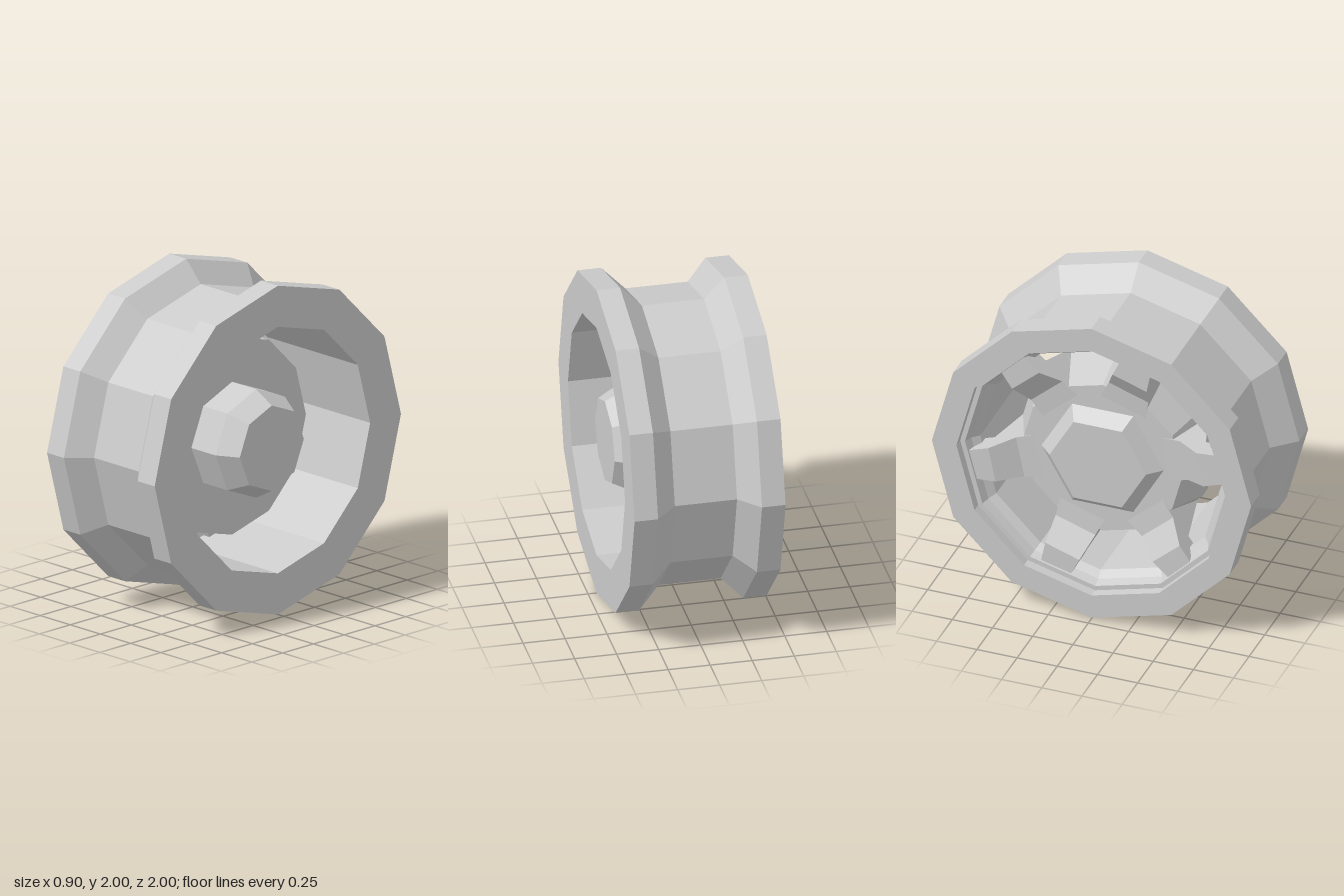
import * as THREE from 'three';

const material = new THREE.MeshStandardMaterial({ color: 0xcccccc, flatShading: true });

// Lathed part: points are [radius, position along the axle], outside going up
function turned(name, points, sides) {
  const profile = points.map(([r, a]) => new THREE.Vector2(r, a));
  const mesh = new THREE.Mesh(new THREE.LatheGeometry(profile, sides), material);
  mesh.name = name;
  return mesh;
}

// Spoke: side profile extruded across, narrowing towards the rim
function spokeGeometry() {
  const profile = [[0.4, -0.27], [0.52, -0.28], [0.66, -0.38], [0.79, -0.38],
    [0.77, -0.25], [0.67, -0.25], [0.57, 0.06], [0.4, 0.06]];
  const shape = new THREE.Shape(profile.map(([r, a]) => new THREE.Vector2(r, a)));
  const geometry = new THREE.ExtrudeGeometry(shape, { depth: 1, bevelEnabled: false });
  geometry.translate(0, 0, -0.5);
  const p = geometry.attributes.position;
  for (let i = 0; i < p.count; i++) {
    const width = THREE.MathUtils.mapLinear(p.getX(i), 0.4, 0.79, 0.29, 0.19);
    p.setZ(i, p.getZ(i) * width);
  }
  geometry.computeVertexNormals();
  return geometry;
}

export function createModel() {
  const model = new THREE.Group();
  model.name = 'wheel';

  // Built with the axle along y, then laid over so the axle runs along x
  const wheel = new THREE.Group();
  wheel.name = 'wheelAssembly';
  wheel.rotation.z = -Math.PI / 2;
  wheel.position.y = 1;
  model.add(wheel);

  // Rim: two flanges, a dropped centre and a stepped outer lip
  wheel.add(turned('rim', [
    [0.84, -0.45], [0.993, -0.45], [0.993, -0.31], [0.866, -0.19], [0.866, 0.18],
    [1, 0.31], [1, 0.45], [0.75, 0.45], [0.75, -0.3], [0.79, -0.34], [0.81, -0.39], [0.84, -0.39], [0.84, -0.45],
  ], 12));

  // Hub body between the spokes
  wheel.add(turned('hubDisc', [[0, -0.27], [0.5, -0.27], [0.6, 0], [0.6, 0.07], [0, 0.07]], 12));

  // Bevelled caps on both ends of the hub
  wheel.add(turned('outerCap', [[0, -0.35], [0.3, -0.35], [0.38, -0.27], [0.38, -0.2]], 6));
  wheel.add(turned('axleBoss', [[0.33, 0.05], [0.33, 0.27], [0.26, 0.4], [0, 0.4]], 8));

  // Six spokes
  const geometry = spokeGeometry();
  for (let i = 0; i < 6; i++) {
    const spoke = new THREE.Mesh(geometry, material);
    spoke.name = 'spoke';
    spoke.rotation.y = -Math.PI / 2 - THREE.MathUtils.degToRad(11.5 + i * 60);
    wheel.add(spoke);
  }
  return model;
}
